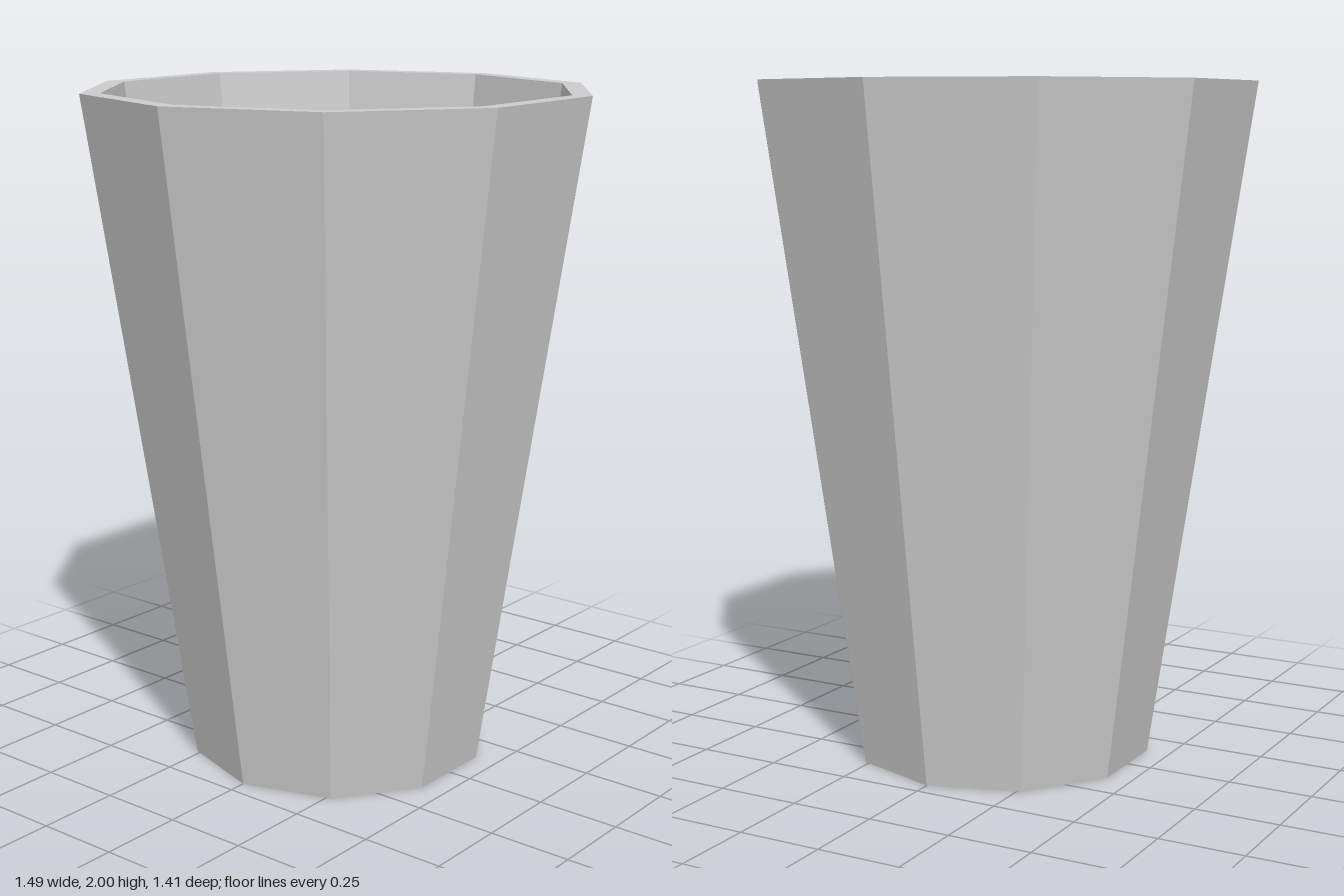
import * as THREE from 'three';

const SIDES = 10;

export function createModel() {
  const group = new THREE.Group();
  group.name = 'cup';
  const material = new THREE.MeshStandardMaterial({ color: 0xcccccc, flatShading: true });

  // Ten-sided turned part with a corner on the +x axis; profile points are [radius, y]
  const turn = (name, profile) => {
    const points = profile.map(([r, y]) => new THREE.Vector2(r, y));
    const mesh = new THREE.Mesh(new THREE.LatheGeometry(points, SIDES, Math.PI / 2), material);
    mesh.name = name;
    group.add(mesh);
  };

  // Underside and tapering outer wall
  turn('outerWall', [[0, 0], [0.448, 0], [0.743, 2]]);
  // Flat lip
  turn('rim', [[0.743, 2], [0.685, 2]]);
  // Inner wall, thinning towards the bottom, and the inside floor
  turn('innerWall', [[0.685, 2], [0.442, 0.03], [0, 0.03]]);

  return group;
}
